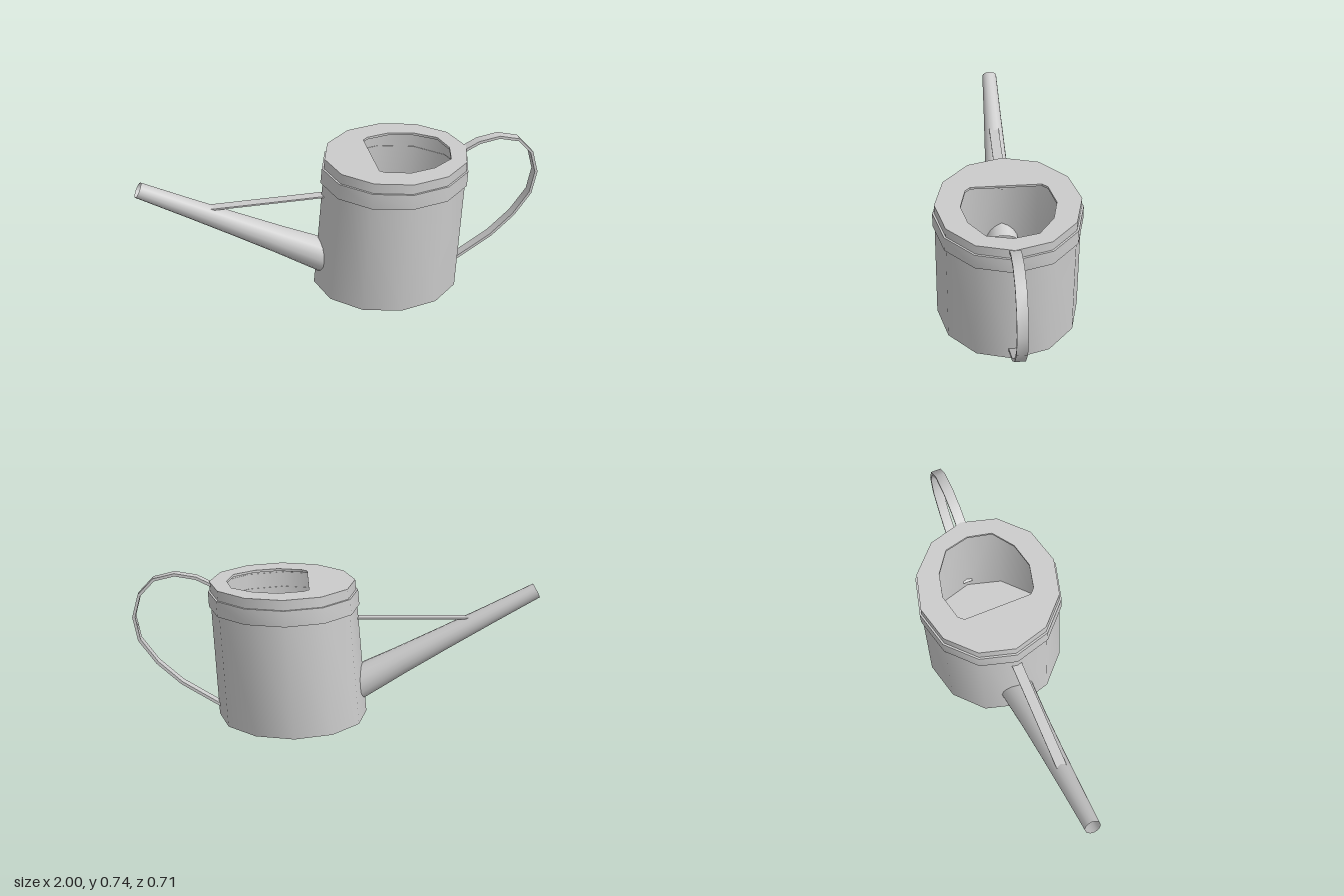
import * as THREE from 'three';
import { toCreasedNormals } from 'three/addons/utils/BufferGeometryUtils.js';

const CREASE = 0.75;
const SIDES = 12;
const vec = (p) => new THREE.Vector2(p[0], p[1]);

export function createModel() {
  const model = new THREE.Group();
  const metal = new THREE.MeshStandardMaterial({ color: 0xcccccc, side: THREE.DoubleSide });

  const add = (name, geometry) => {
    const mesh = new THREE.Mesh(toCreasedNormals(geometry, CREASE), metal);
    mesh.name = name;
    model.add(mesh);
    return mesh;
  };

  // The can leans slightly towards the handle and is a little narrower in z
  const lean = (geometry) => {
    const p = geometry.attributes.position;
    for (let i = 0; i < p.count; i++) {
      const y = p.getY(i);
      p.setX(i, p.getX(i) + 0.22 + 0.066 * y);
      p.setZ(i, p.getZ(i) * (0.946 + 0.028 * y));
    }
    return geometry;
  };
  const turned = (points) => lean(new THREE.LatheGeometry(points.map(vec), SIDES));

  // Open-topped body with a flat base, and the raised band near the rim
  add('body', turned([[0, 0], [0.37, 0], [0.355, 0.688]]));
  add('band', turned([[0.355, 0.563], [0.368, 0.563], [0.366, 0.64], [0.354, 0.64]]));

  // Lid plate with a D-shaped filling hole
  const rim = [];
  for (let i = 0; i < SIDES; i++) {
    const a = (i / SIDES) * Math.PI * 2;
    rim.push(new THREE.Vector2(0.355 * Math.cos(a), 0.355 * Math.sin(a)));
  }
  const lid = new THREE.Shape(rim);
  const half = [[0.535, 0], [0.508, 0.12], [0.405, 0.195], [0.285, 0.223], [0.165, 0.195], [0.14, 0.17]];
  const mirrored = half.slice(1).reverse().map(([x, z]) => [x, -z]);
  lid.holes.push(new THREE.Path([...half, ...mirrored].map(([x, z]) => new THREE.Vector2(x - 0.265, z / 0.966))));
  const lidGeometry = new THREE.ExtrudeGeometry(lid, { depth: 0.012, bevelEnabled: false });
  lidGeometry.rotateX(-Math.PI / 2).translate(0, 0.677, 0);
  add('lid', lean(lidGeometry));

  // Tapered open spout
  const start = new THREE.Vector3(-0.1, 0.153, 0);
  const tip = new THREE.Vector3(-0.985, 0.62, 0);
  const axis = tip.clone().sub(start);
  const length = axis.length();
  const radii = [0.085, 0.068, 0.056, 0.046, 0.038];
  const spout = add('spout', new THREE.LatheGeometry(
    radii.map((r, i) => new THREE.Vector2(r, (length * i) / (radii.length - 1))), 16));
  spout.position.copy(start);
  spout.quaternion.setFromUnitVectors(new THREE.Vector3(0, 1, 0), axis.normalize());

  // Flat strips: a path in the xy plane given thickness and width
  const strip = (name, path, thickness, width) => {
    const pts = path.map(vec);
    const inner = pts.map((p, i) => {
      const d = pts[Math.min(i + 1, pts.length - 1)].clone().sub(pts[Math.max(i - 1, 0)]).normalize();
      return new THREE.Vector2(p.x + d.y * thickness, p.y - d.x * thickness);
    });
    const shape = new THREE.Shape([...pts, ...inner.reverse()]);
    const geometry = new THREE.ExtrudeGeometry(shape, { depth: width, bevelEnabled: false });
    add(name, geometry.translate(0, 0, -width / 2));
  };

  strip('spoutBrace', [[-0.685, 0.491], [-0.1, 0.499]], 0.008, 0.05);
  strip('handle', [
    [0.605, 0.68], [0.68, 0.718], [0.785, 0.737], [0.89, 0.712], [0.965, 0.633],
    [0.997, 0.52], [0.975, 0.4], [0.892, 0.28], [0.775, 0.17], [0.585, 0.048],
  ], 0.014, 0.05);

  return model;
}
